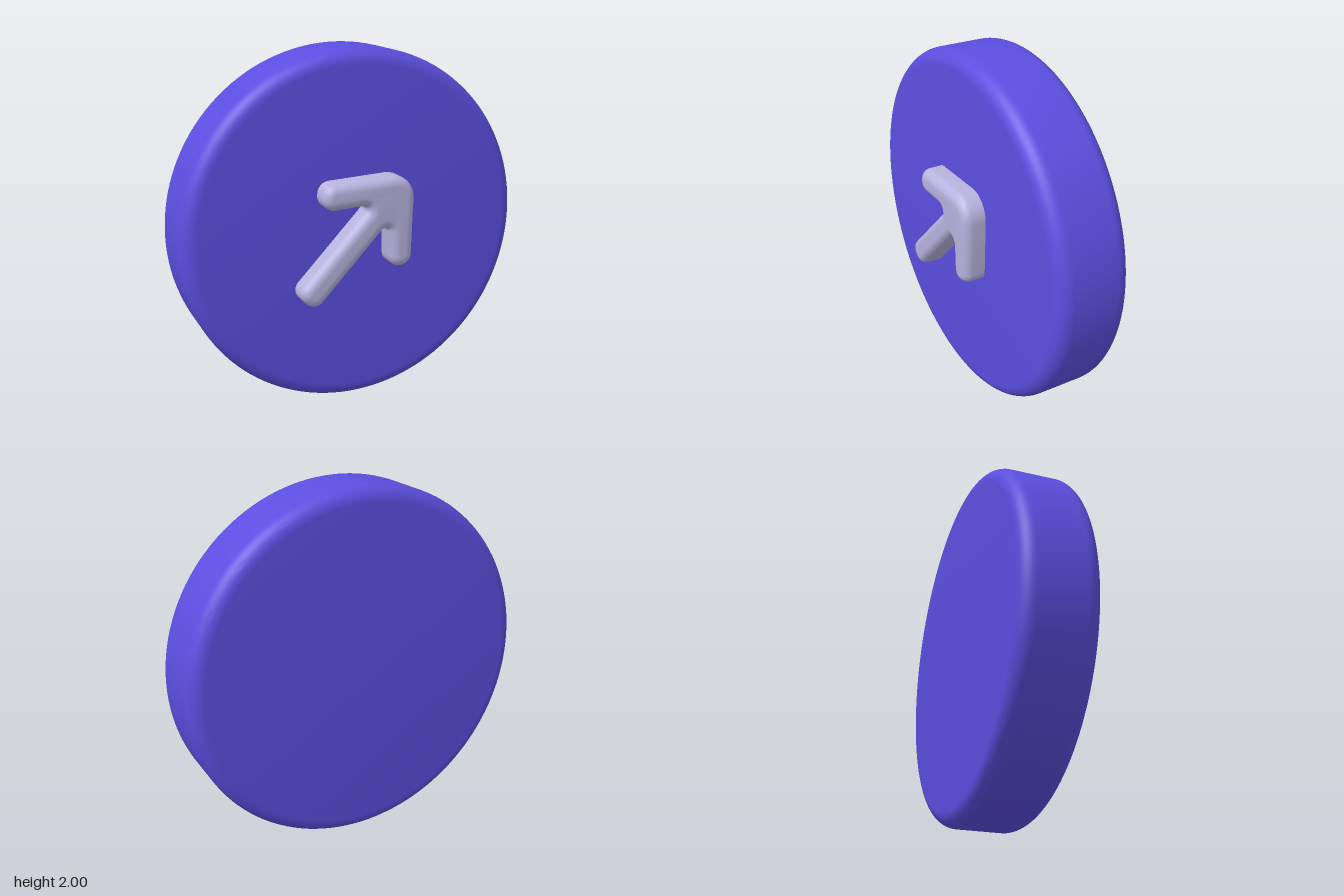
import * as THREE from 'three';
import { mergeVertices, toCreasedNormals } from 'three/addons/utils/BufferGeometryUtils.js';

// Closed shape from corners [x, y, radius], each corner rounded by a true arc
function roundedShape(corners, steps = 8) {
  const pts = [];
  const n = corners.length;
  corners.forEach(([x, y, r], i) => {
    const p = new THREE.Vector2(x, y);
    const a = new THREE.Vector2(...corners[(i + n - 1) % n].slice(0, 2)).sub(p).normalize();
    const b = new THREE.Vector2(...corners[(i + 1) % n].slice(0, 2)).sub(p).normalize();
    const half = Math.acos(a.dot(b)) / 2;
    const centre = p.clone().addScaledVector(a.clone().add(b).normalize(), r / Math.sin(half));
    const start = p.clone().addScaledVector(a, r / Math.tan(half)).sub(centre);
    const turn = Math.sign(b.cross(a)) * (Math.PI - 2 * half);
    for (let k = 0; k <= steps; k++) {
      pts.push(start.clone().rotateAround(new THREE.Vector2(), -turn * k / steps * -1).add(centre));
    }
  });
  return new THREE.Shape(pts);
}

export function createModel() {
  const group = new THREE.Group();

  // Round disc with softened rims, turned so its axis runs along z
  const back = -0.275, front = 0.15, r = 0.085;
  const profile = [new THREE.Vector2(0, back)];
  for (const [z, from] of [[back + r, -Math.PI / 2], [front - r, 0]]) {
    for (let k = 0; k <= 10; k++) {
      const t = from + (k / 10) * Math.PI / 2;
      profile.push(new THREE.Vector2(1 - r + r * Math.cos(t), z + r * Math.sin(t)));
    }
  }
  profile.push(new THREE.Vector2(0, front));
  const discGeo = toCreasedNormals(new THREE.LatheGeometry(profile, 128).rotateX(Math.PI / 2), 0.5);
  const disc = new THREE.Mesh(discGeo, new THREE.MeshStandardMaterial({ color: 0x5c4ee0 }));
  disc.name = 'disc';
  disc.position.y = 1;
  group.add(disc);

  // Raised arrow: a thin core outline, swollen outward by a round bevel
  const outline = roundedShape([
    [-0.335, 0.715, 0.01], [-0.305, 0.685, 0.01], // shaft end
    [0.18, 1.19, 0.075],                          // notch under the head
    [0.19, 0.85, 0.015], [0.222, 0.855, 0.015],   // lower barb
    [0.235, 1.272, 0.08],                         // point
    [-0.195, 1.255, 0.015], [-0.2, 1.215, 0.015], // left barb
    [0.165, 1.23, 0.075],                         // notch above the shaft
  ]);
  const bevel = 0.053, depth = 0.09;
  const raw = new THREE.ExtrudeGeometry(outline, {
    depth, bevelEnabled: true, bevelSize: bevel, bevelThickness: bevel, bevelSegments: 8,
  });
  raw.deleteAttribute('uv');
  raw.deleteAttribute('normal');
  const arrowGeo = toCreasedNormals(mergeVertices(raw, 1e-4), 0.8);
  const arrow = new THREE.Mesh(arrowGeo, new THREE.MeshStandardMaterial({ color: 0xb8b3de }));
  arrow.name = 'arrow';
  arrow.position.z = 0.275 - bevel - depth;
  group.add(arrow);

  return group;
}
